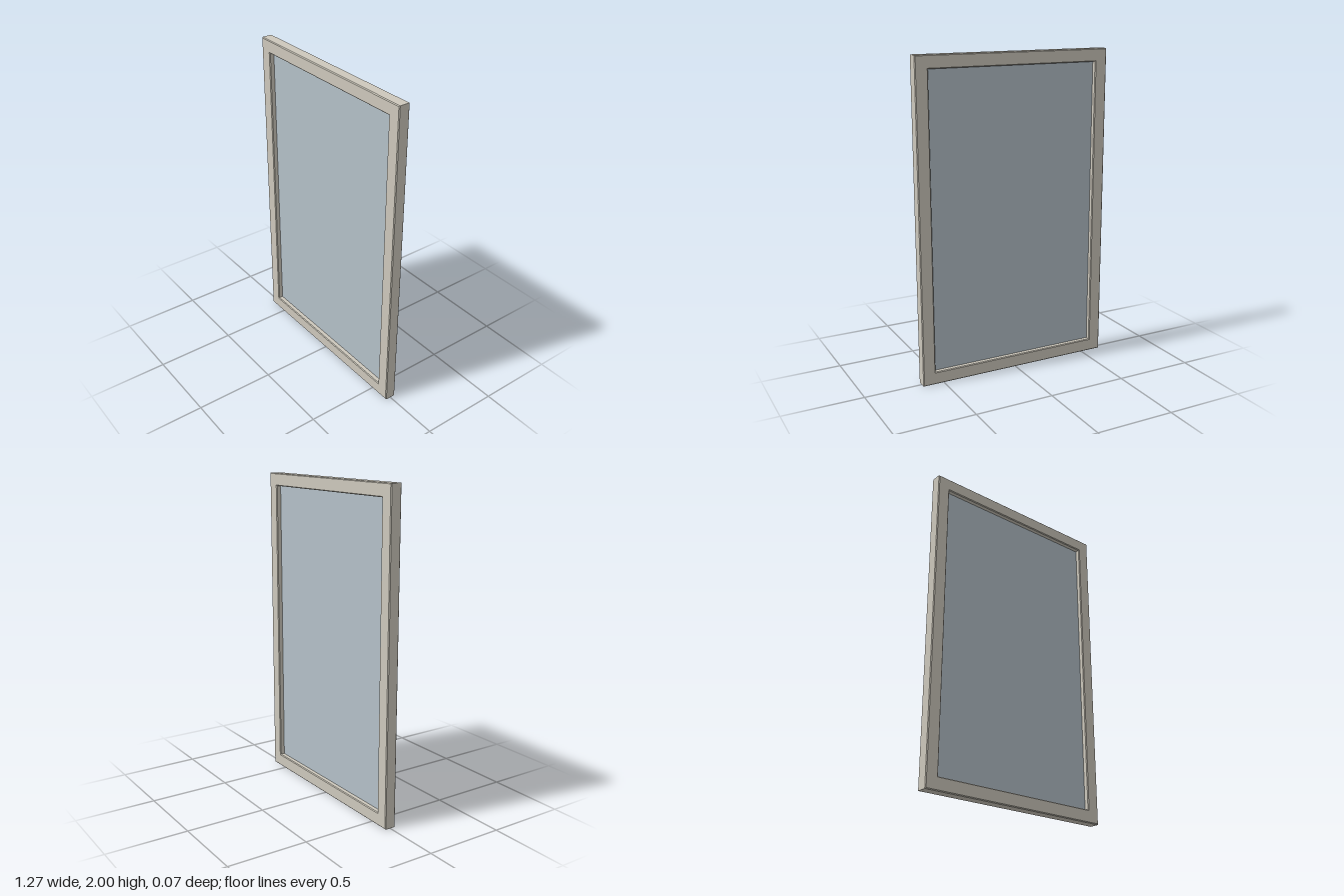
import * as THREE from 'three';

const WIDTH = 1.27, HEIGHT = 2, DEPTH = 0.072, BORDER = 0.08, BEVEL = 0.005;

// Traces a rectangle centred on x, standing inset from the outer edge
function rectangle(path, inset) {
  const x = WIDTH / 2 - inset, y0 = inset, y1 = HEIGHT - inset;
  path.moveTo(-x, y0);
  path.lineTo(x, y0);
  path.lineTo(x, y1);
  path.lineTo(-x, y1);
  path.closePath();
  return path;
}

export function createModel() {
  const group = new THREE.Group();
  group.name = 'window';

  // Frame: one border with a rectangular opening and finely chamfered edges
  const outline = rectangle(new THREE.Shape(), 0);
  outline.holes.push(rectangle(new THREE.Path(), BORDER));
  const frameGeometry = new THREE.ExtrudeGeometry(outline, {
    depth: DEPTH - 2 * BEVEL,
    bevelEnabled: true,
    bevelThickness: BEVEL,
    bevelSize: BEVEL,
    bevelOffset: -BEVEL,
    bevelSegments: 1,
  });
  frameGeometry.translate(0, 0, BEVEL - DEPTH / 2);
  const frame = new THREE.Mesh(frameGeometry, new THREE.MeshStandardMaterial({ color: 0xcdc8bc }));
  frame.name = 'frame';
  group.add(frame);

  // Pane: thin sheet set midway in the frame, its edges seated in the border
  const seat = 0.01;
  const pane = new THREE.Mesh(
    new THREE.BoxGeometry(WIDTH - 2 * BORDER + 2 * seat, HEIGHT - 2 * BORDER + 2 * seat, 0.012),
    new THREE.MeshStandardMaterial({ color: 0xb4c0c8 })
  );
  pane.name = 'pane';
  pane.position.y = HEIGHT / 2;
  group.add(pane);

  return group;
}
